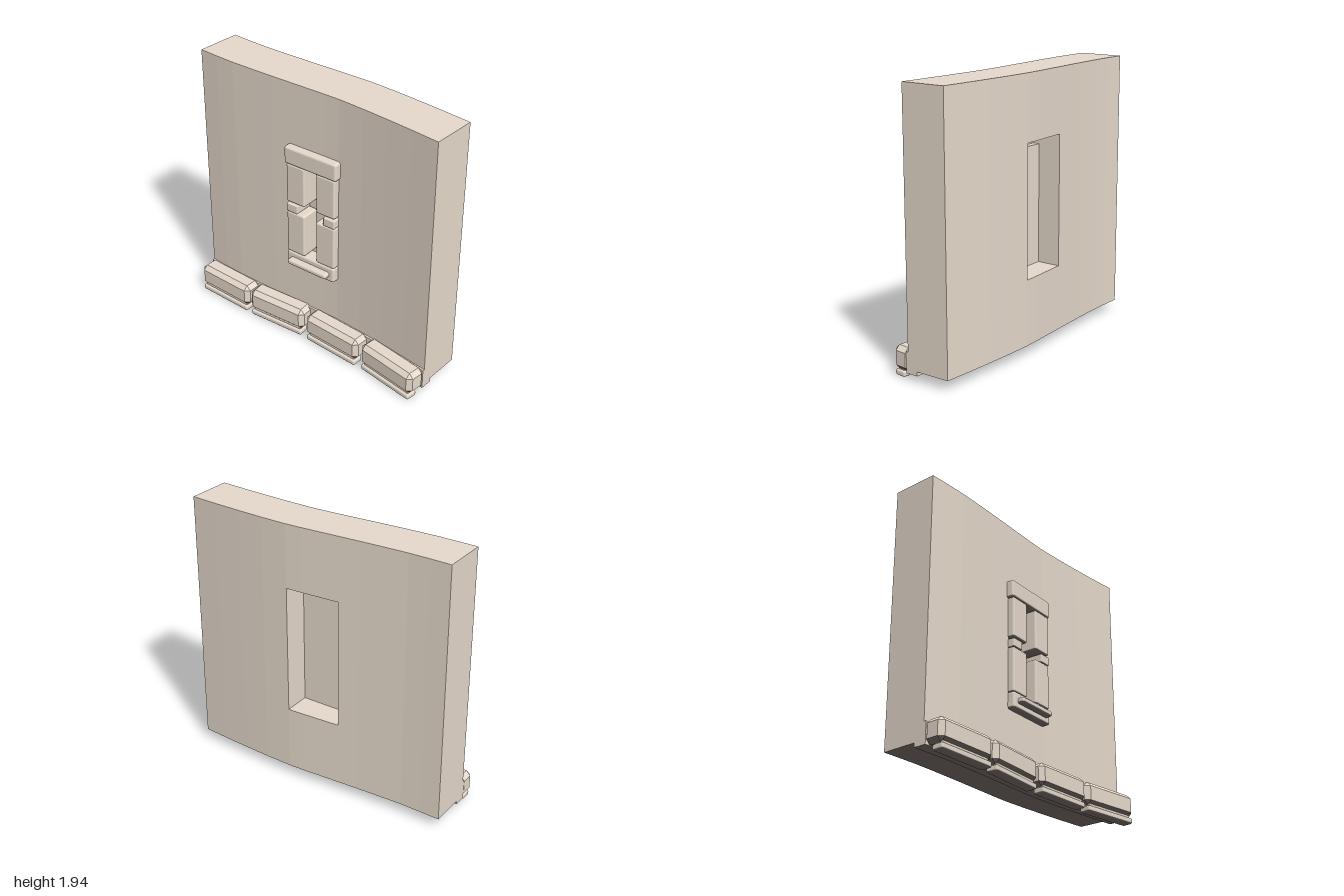
import * as THREE from 'three';
import { ConvexGeometry } from 'three/addons/geometries/ConvexGeometry.js';
import { RoundedBoxGeometry } from 'three/addons/geometries/RoundedBoxGeometry.js';

const stone = new THREE.MeshStandardMaterial({ color: 0xe6dacc });
stone.name = 'paleStone';
const underside = new THREE.MeshStandardMaterial({ color: 0x80756f });
underside.name = 'darkUnderside';

// plan curve of the wall front: x, z
const PLAN = [[-1, .113], [-.85, .117], [-.7, .118], [-.5, .11], [-.35, .102], [-.2, .093], [-.05, .084],
  [.08, .076], [.2, .071], [.4, .075], [.6, .084], [.8, .096], [1, .111]];
const THICK = .33;

// mesh whose downward faces take the dark stone
function mesh(name, geometry) {
  const g = geometry.index ? geometry.toNonIndexed() : geometry;
  const p = g.attributes.position;
  const tri = new THREE.Triangle(), normal = new THREE.Vector3();
  g.clearGroups();
  for (let i = 0; i < p.count; i += 3) {
    tri.setFromAttributeAndIndices(p, i, i + 1, i + 2);
    const material = tri.getNormal(normal).y < -.5 ? 1 : 0;
    const last = g.groups[g.groups.length - 1];
    if (last && last.materialIndex === material) last.count += 3;
    else g.addGroup(i, 3, material);
  }
  const m = new THREE.Mesh(g, [stone, underside]);
  m.name = name;
  return m;
}

// box between two corners with all edges chamfered by c
function chamferBox(name, x0, x1, y0, y1, z0, z1, c) {
  const h = [(x1 - x0) / 2, (y1 - y0) / 2, (z1 - z0) / 2];
  const pts = [];
  for (const sx of [-1, 1]) for (const sy of [-1, 1]) for (const sz of [-1, 1])
    for (let k = 0; k < 3; k++) {
      const d = h.map((v, i) => (i === k ? v : v - c));
      pts.push(new THREE.Vector3(sx * d[0], sy * d[1], sz * d[2]));
    }
  const m = mesh(name, new ConvexGeometry(pts));
  m.position.set((x0 + x1) / 2, (y0 + y1) / 2, (z0 + z1) / 2);
  return m;
}

// box between two corners with rounded edges of radius r
function roundedBox(name, x0, x1, y0, y1, z0, z1, r) {
  const m = mesh(name, new RoundedBoxGeometry(x1 - x0, y1 - y0, z1 - z0, 2, r));
  m.position.set((x0 + x1) / 2, (y0 + y1) / 2, (z0 + z1) / 2);
  return m;
}

// slab following the plan curve, with an optional rectangular opening
function curvedSlab(ys, frontOffset, depth, hole) {
  const pos = [];
  const quad = (a, b, c, d) => pos.push(...a, ...b, ...c, ...a, ...c, ...d);
  const solid = (i, j) => {
    if (i < 0 || j < 0 || i >= PLAN.length - 1 || j >= ys.length - 1) return false;
    if (!hole) return true;
    const x = (PLAN[i][0] + PLAN[i + 1][0]) / 2, y = (ys[j] + ys[j + 1]) / 2;
    return !(x > hole[0] && x < hole[1] && y > hole[2] && y < hole[3]);
  };
  const F = (i, j) => [PLAN[i][0], ys[j], PLAN[i][1] + frontOffset];
  const B = (i, j) => [PLAN[i][0], ys[j], PLAN[i][1] - depth];
  for (let i = 0; i < PLAN.length - 1; i++) for (let j = 0; j < ys.length - 1; j++) {
    if (!solid(i, j)) continue;
    const k = i + 1, l = j + 1;
    quad(F(i, j), F(k, j), F(k, l), F(i, l));
    quad(B(k, j), B(i, j), B(i, l), B(k, l));
    if (!solid(i, l)) quad(F(i, l), F(k, l), B(k, l), B(i, l));
    if (!solid(i, j - 1)) quad(B(i, j), B(k, j), F(k, j), F(i, j));
    if (!solid(i - 1, j)) quad(B(i, j), F(i, j), F(i, l), B(i, l));
    if (!solid(k, j)) quad(F(k, j), B(k, j), B(k, l), F(k, l));
  }
  const g = new THREE.BufferGeometry();
  g.setAttribute('position', new THREE.Float32BufferAttribute(pos, 3));
  g.computeVertexNormals();
  return g;
}

export function createModel() {
  const model = new THREE.Group();
  model.name = 'wallSection';

  // gently curved wall with a window opening, and the footing strip
  model.add(mesh('wall', curvedSlab([.08, .55, 1.485, 1.945], 0, THICK, [-.2, .2, .55, 1.485])));
  model.add(mesh('footingStrip', curvedSlab([.05, .2], .016, .075)));

  // window surround, turned to follow the wall
  const frame = new THREE.Group();
  frame.name = 'windowSurround';
  frame.position.z = .084;
  frame.rotation.y = .055;
  frame.add(
    roundedBox('lintel', -.22, .216, 1.36, 1.492, -.06, .052, .018),
    roundedBox('sill', -.206, .204, .541, .66, -.06, .052, .018),
    roundedBox('sillBar', -.168, .166, .58, .62, .02, .1, .016),
    roundedBox('upperRightJamb', -.206, -.05, 1.062, 1.364, -.1, .048, .015),
    roundedBox('upperLeftJamb', .048, .204, 1.062, 1.364, -.1, .048, .015),
    roundedBox('lowerRightJamb', -.206, -.053, .656, .986, -.1, .048, .015),
    roundedBox('lowerLeftJamb', .045, .204, .656, .986, -.1, .048, .015),
    roundedBox('rightTieBlock', -.206, -.112, .986, 1.05, -.1, .05, .008),
    roundedBox('leftTieBlock', .11, .204, .986, 1.05, -.1, .05, .008),
  );
  model.add(frame);

  // panel closing the opening part way through the wall
  const panel = mesh('recessedPanel', new THREE.BoxGeometry(.4, .85, .05));
  panel.position.set(0, .975, -.04);
  model.add(panel);

  // base course: centre x, front z, turn
  [[-.757, .253, .01], [-.26, .227, .1], [.247, .211, -.015], [.748, .23, -.11]].forEach(([x, z, turn], i) => {
    const block = new THREE.Group();
    block.name = 'baseBlock' + (i + 1);
    block.position.set(x, 0, z);
    block.rotation.y = turn;
    block.add(
      chamferBox('stoneBlock', -.24, .24, .05, .215, -.15, 0, .032),
      roundedBox('lowerMoulding', -.225, .225, .003, .045, -.09, -.003, .014),
      chamferBox('mouldingNeck', -.21, .21, .03, .07, -.08, -.02, .005),
    );
    model.add(block);
  });
  return model;
}
